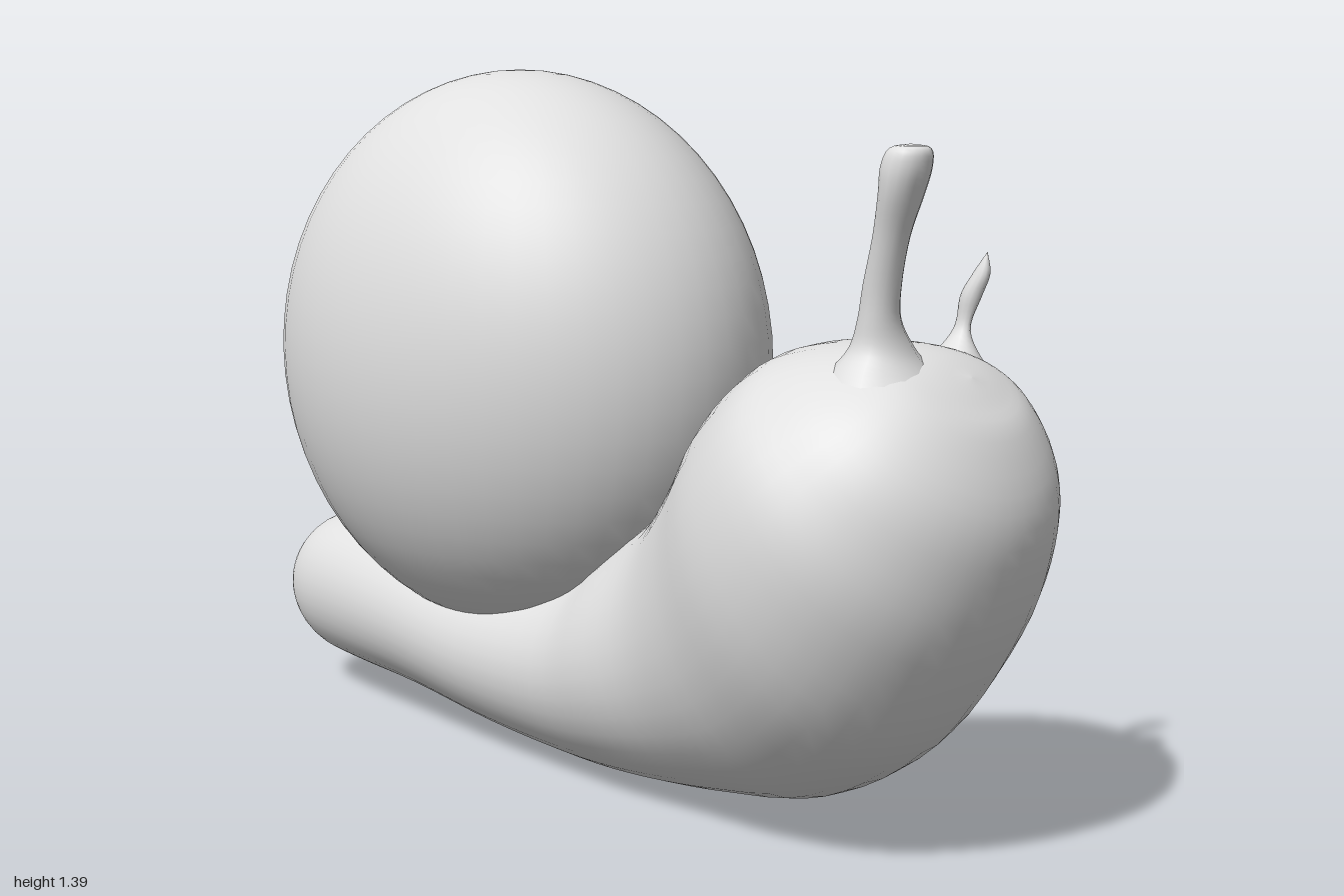
import * as THREE from 'three';

// Smooth closed skin through oval rings; row = [...centre, ...axisU, ...axisV], with U x V along the path
function loft(rows, steps, sides) {
  const curve = (k) => new THREE.CatmullRomCurve3(
    rows.map((r) => new THREE.Vector3(r[k], r[k + 1], r[k + 2])), false, 'catmullrom', 0.5);
  const [centre, axisU, axisV] = [0, 3, 6].map(curve);
  const positions = [];
  const index = [];
  for (let i = 0; i <= steps; i++) {
    const t = i / steps;
    const c = centre.getPoint(t);
    const u = axisU.getPoint(t);
    const v = axisV.getPoint(t);
    for (let j = 0; j < sides; j++) {
      const a = (j / sides) * Math.PI * 2;
      const p = c.clone().addScaledVector(u, Math.cos(a)).addScaledVector(v, Math.sin(a));
      positions.push(p.x, p.y, p.z);
      if (i < steps) {
        const k = i * sides + j;
        const n = i * sides + ((j + 1) % sides);
        index.push(k, n, k + sides, n, n + sides, k + sides);
      }
    }
  }
  const geometry = new THREE.BufferGeometry();
  geometry.setAttribute('position', new THREE.Float32BufferAttribute(positions, 3));
  geometry.setIndex(index);
  geometry.computeVertexNormals();
  return geometry;
}

// Body ring: underside point, back point, sideways centre, half width
const bodyRing = ([bx, by, tx, ty, z, w]) =>
  [(bx + tx) / 2, (by + ty) / 2, z, (tx - bx) / 2, (ty - by) / 2, 0, 0, 0, w];

// Tentacle ring: centre, radius along x, radius along z
const stalkRing = ([x, y, z, rx, rz]) => [x, y, z, 0, 0, rz, rx, 0, 0];

export function createModel() {
  const model = new THREE.Group();
  const grey = new THREE.MeshStandardMaterial({ color: 0xe0e0e0 });
  grey.name = 'plain grey';
  const add = (name, geometry) => {
    const mesh = new THREE.Mesh(geometry, grey);
    mesh.name = name;
    model.add(mesh);
    return mesh;
  };

  // Body, from the tail tip along the foot and up round the head
  const body = [
    [-1.0, 0.23, -1.0, 0.23, 0, 0],
    [-0.988, 0.175, -0.988, 0.285, 0, 0.06],
    [-0.95, 0.12, -0.955, 0.342, 0, 0.112],
    [-0.88, 0.075, -0.88, 0.388, 0, 0.15],
    [-0.75, 0.06, -0.73, 0.408, 0, 0.177],
    [-0.5, 0.045, -0.52, 0.4, 0, 0.205],
    [-0.25, 0.015, -0.27, 0.38, 0, 0.222],
    [0.0, 0.0, -0.02, 0.415, 0.005, 0.242],
    [0.2, 0.008, 0.1, 0.485, 0.015, 0.265],
    [0.4, 0.03, 0.22, 0.575, 0.02, 0.285],
    [0.61, 0.078, 0.31, 0.68, 0.04, 0.312],
    [0.8, 0.2, 0.4, 0.795, 0.063, 0.342],
    [0.925, 0.38, 0.5, 0.88, 0.065, 0.342],
    [0.983, 0.53, 0.59, 0.91, 0.06, 0.298],
    [0.995, 0.65, 0.68, 0.918, 0.057, 0.238],
    [0.955, 0.77, 0.755, 0.915, 0.05, 0.162],
    [0.91, 0.825, 0.815, 0.9, 0.04, 0.085],
    [0.868, 0.868, 0.868, 0.868, 0.035, 0],
  ];
  add('body', loft(body.map(bodyRing), 68, 40));

  // Round shell, narrower from side to side
  const shell = add('shell', new THREE.SphereGeometry(1, 48, 32));
  shell.scale.set(0.58, 0.58, 0.435);
  shell.position.set(-0.29, 0.81, 0);

  // Long tentacle with a flared root and a knob at the tip
  const longTentacle = [
    [0.75, 0.82, 0.13, 0.13, 0.14],
    [0.753, 0.88, 0.137, 0.08, 0.095],
    [0.76, 0.92, 0.145, 0.052, 0.06],
    [0.768, 0.97, 0.163, 0.036, 0.038],
    [0.78, 1.03, 0.172, 0.033, 0.032],
    [0.805, 1.11, 0.183, 0.031, 0.032],
    [0.828, 1.18, 0.189, 0.036, 0.042],
    [0.838, 1.225, 0.19, 0.042, 0.044],
    [0.845, 1.255, 0.19, 0.034, 0.034],
    [0.846, 1.262, 0.19, 0, 0],
  ];
  add('longTentacle', loft(longTentacle.map(stalkRing), 36, 16));

  // Short leaf-shaped tentacle
  const shortTentacle = [
    [0.75, 0.83, -0.075, 0.09, 0.09],
    [0.75, 0.89, -0.085, 0.04, 0.035],
    [0.752, 0.935, -0.097, 0.016, 0.011],
    [0.762, 0.99, -0.107, 0.02, 0.017],
    [0.778, 1.03, -0.114, 0.016, 0.013],
    [0.788, 1.068, -0.116, 0, 0],
  ];
  add('shortTentacle', loft(shortTentacle.map(stalkRing), 24, 12));

  return model;
}
